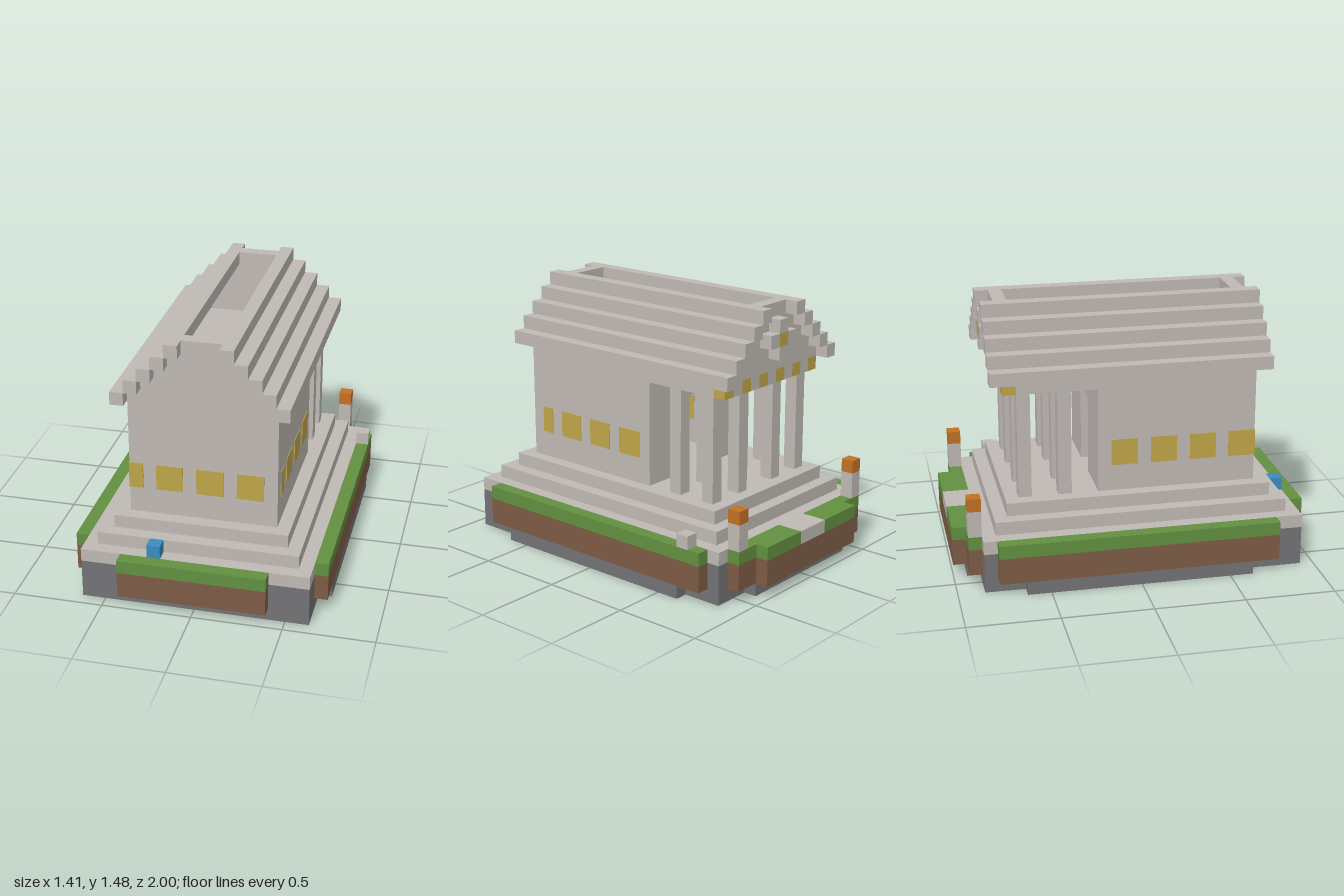
import * as THREE from 'three';

// Everything sits on a block grid: 19 wide, 20 high, 27 deep (depth counted from the back)
const U = 2 / 27;

const mat = (name, color) => {
  const m = new THREE.MeshStandardMaterial({ color });
  m.name = name;
  return m;
};

export function createModel() {
  const model = new THREE.Group();
  model.name = 'temple';

  const stone = mat('pale stone', 0xbfb9b4);
  const rock = mat('dark rock', 0x737274);
  const soil = mat('soil', 0x7d5c45);
  const grass = mat('grass', 0x629040);
  const gold = mat('gold', 0xbfa548);
  const flame = mat('flame orange', 0xc27122);
  const water = mat('blue', 0x3a8cc0);

  // Box between grid lines; grow swells it slightly along chosen axes
  const block = (name, m, [x0, x1], [y0, y1], [z0, z1], grow = [0, 0, 0]) => {
    const g = new THREE.BoxGeometry(
      (x1 - x0) * U + grow[0], (y1 - y0) * U + grow[1], (z1 - z0) * U + grow[2]);
    const mesh = new THREE.Mesh(g, m);
    mesh.name = name;
    mesh.position.set(((x0 + x1) / 2 - 9.5) * U, ((y0 + y1) / 2) * U, ((z0 + z1) / 2 - 13.5) * U);
    model.add(mesh);
    return mesh;
  };
  // The same box on both sides of the centre plane
  const pair = (name, m, [x0, x1], y, z) => {
    block(name + 'Right', m, [x0, x1], y, z);
    block(name + 'Left', m, [19 - x1, 19 - x0], y, z);
  };

  // Foundation
  block('foundation', rock, [1, 18], [0, 3], [2, 26]);
  pair('foundationSide', rock, [0, 1], [0, 1], [5, 22]);
  block('foundationBack', rock, [4, 15], [0, 1], [1, 2]);

  // Soil and grass borders
  pair('sideSoil', soil, [0, 1], [1, 3], [3, 24]);
  pair('sideGrass', grass, [0, 1], [3, 4], [3, 24]);
  block('frontSoil', soil, [4, 15], [1, 3], [26, 27]);
  block('frontGrass', grass, [4, 15], [3, 4], [26, 27]);
  block('backSoilInner', soil, [2, 17], [1, 3], [1, 2]);
  block('backSoilOuter', soil, [4, 15], [1, 3], [0, 1]);
  pair('backGrassInner', grass, [2, 8], [3, 4], [1, 2]);
  pair('backGrassOuter', grass, [4, 8], [3, 4], [0, 1]);
  block('path', stone, [8, 11], [3, 4], [0, 2]);

  // Stepped platform
  block('platform', stone, [1, 18], [3, 4], [2, 26]);
  block('middleStep', stone, [2, 17], [4, 5], [3, 25]);
  block('topStep', stone, [3, 16], [5, 6], [4, 24]);

  // Torches, loose stone and blue block
  pair('torchPost', stone, [2, 3], [4, 6], [1, 2]);
  pair('torchFlame', flame, [2, 3], [6, 7], [1, 2]);
  block('looseStone', stone, [18, 19], [4, 5], [4, 5]);
  block('blueBlock', water, [6, 7], [4, 5], [25, 26]);

  // Hall walls with a doorway onto the porch
  block('frontWall', stone, [4, 15], [6, 15], [22, 23]);
  pair('sideWall', stone, [4, 5], [6, 15], [11, 22]);
  pair('doorWall', stone, [5, 8], [6, 15], [11, 12]);
  block('doorLintel', stone, [8, 11], [12, 15], [11, 12]);

  // Gold window bands, slightly proud of the walls
  for (const [a, b] of [[4, 5], [6, 8], [9, 11], [12, 14]]) {
    block('frontWindow', gold, [a, b], [8, 10], [22, 23], [0, 0, 0.008]);
  }
  for (const [a, b] of [[12, 14], [15, 17], [18, 20]]) {
    pair('sideWindow', gold, [4, 5], [8, 10], [a, b]);
    model.children.slice(-2).forEach((w) => { w.scale.x = 1.1; });
  }
  block('cornerWindowLeft', gold, [14, 15], [8, 10], [21, 22], [0.008, 0, 0]);
  block('cornerWindowRight', gold, [4, 5], [8, 10], [21, 23], [0.008, 0, 0.004]);

  // Porch columns and ceiling
  for (const z of [5, 8]) {
    for (const x of [4, 7]) pair('column', stone, [x, x + 1], [6, 14], [z, z + 1]);
  }
  block('porchCeiling', stone, [4, 15], [14, 15], [5, 11]);

  // Cornice of alternating gold and stone blocks
  for (let x = 4; x < 15; x++) {
    block('corniceBlock', x % 2 ? stone : gold, [x, x + 1], [14, 15], [4, 5]);
  }

  // Stepped roof strips and the gables they frame
  for (let i = 0; i < 5; i++) {
    pair('roofStrip', stone, [3 + i, 4 + i], [15 + i, 16 + i], [3, 24]);
    for (const z of [4, 22]) {
      block(z === 4 ? 'backGable' : 'frontGable', stone, [4 + i, 15 - i], [15 + i, 16 + i], [z, z + 1]);
    }
  }

  // Cross-shaped ornament on the back gable
  block('ornamentCentre', gold, [9, 10], [17, 18], [3, 4]);
  pair('ornamentArm', stone, [8, 9], [17, 18], [3, 4]);
  block('ornamentTop', stone, [9, 10], [18, 19], [3, 4]);
  block('ornamentBottom', stone, [9, 10], [16, 17], [3, 4]);

  return model;
}
